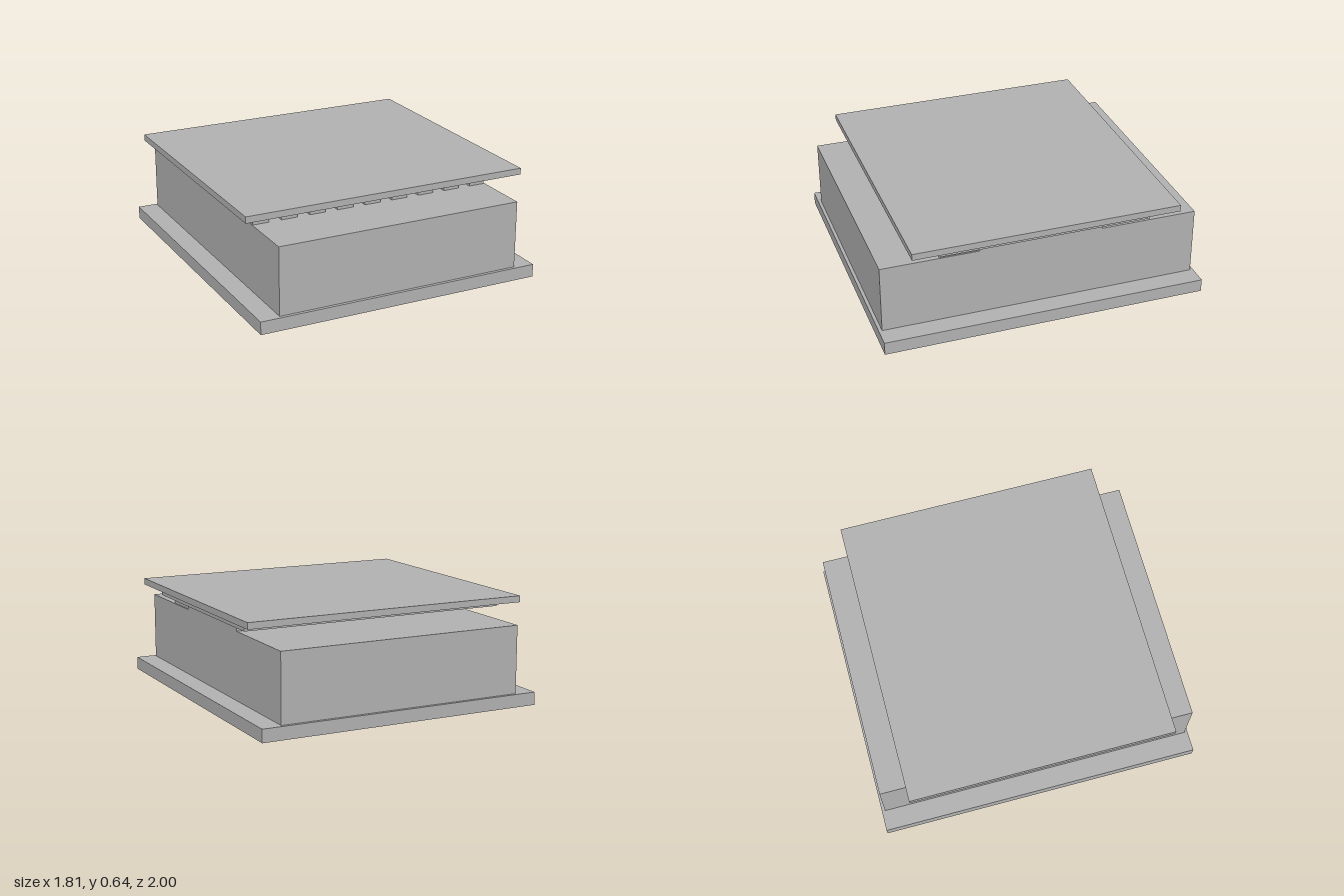
import * as THREE from 'three';

export function createModel() {
  const model = new THREE.Group();
  const stone = new THREE.MeshStandardMaterial({ color: 0xb2b2b2 });
  stone.name = 'grey stone';

  // Box given by its x, y and z ranges
  function block(name, [x0, x1], [y0, y1], [z0, z1], parent = model) {
    const mesh = new THREE.Mesh(new THREE.BoxGeometry(x1 - x0, y1 - y0, z1 - z0), stone);
    mesh.position.set((x0 + x1) / 2, (y0 + y1) / 2, (z0 + z1) / 2);
    mesh.name = name;
    parent.add(mesh);
  }

  // Plinth and main body
  block('basePlinth', [-0.905, 0.905], [0, 0.08], [-1, 1]);
  block('body', [-0.78, 0.78], [0.08, 0.5], [-0.98, 0.98]);

  // Recessed neck with a row of blocks along its front
  block('neck', [-0.78, 0.78], [0.5, 0.555], [-0.38, 0.38]);
  const dentils = new THREE.Group();
  dentils.name = 'dentilRow';
  model.add(dentils);
  for (let i = 0; i < 9; i++) {
    const x = -0.777 + i * 0.181;
    block('dentil', [x, x + 0.103], [0.5, 0.555], [0.38, 0.62], dentils);
  }

  // Stepped cornice and roof slab
  block('cornice', [-0.85, 0.85], [0.555, 0.602], [-0.65, 0.65]);
  block('roofSlab', [-0.905, 0.905], [0.602, 0.642], [-0.82, 0.82]);

  return model;
}
